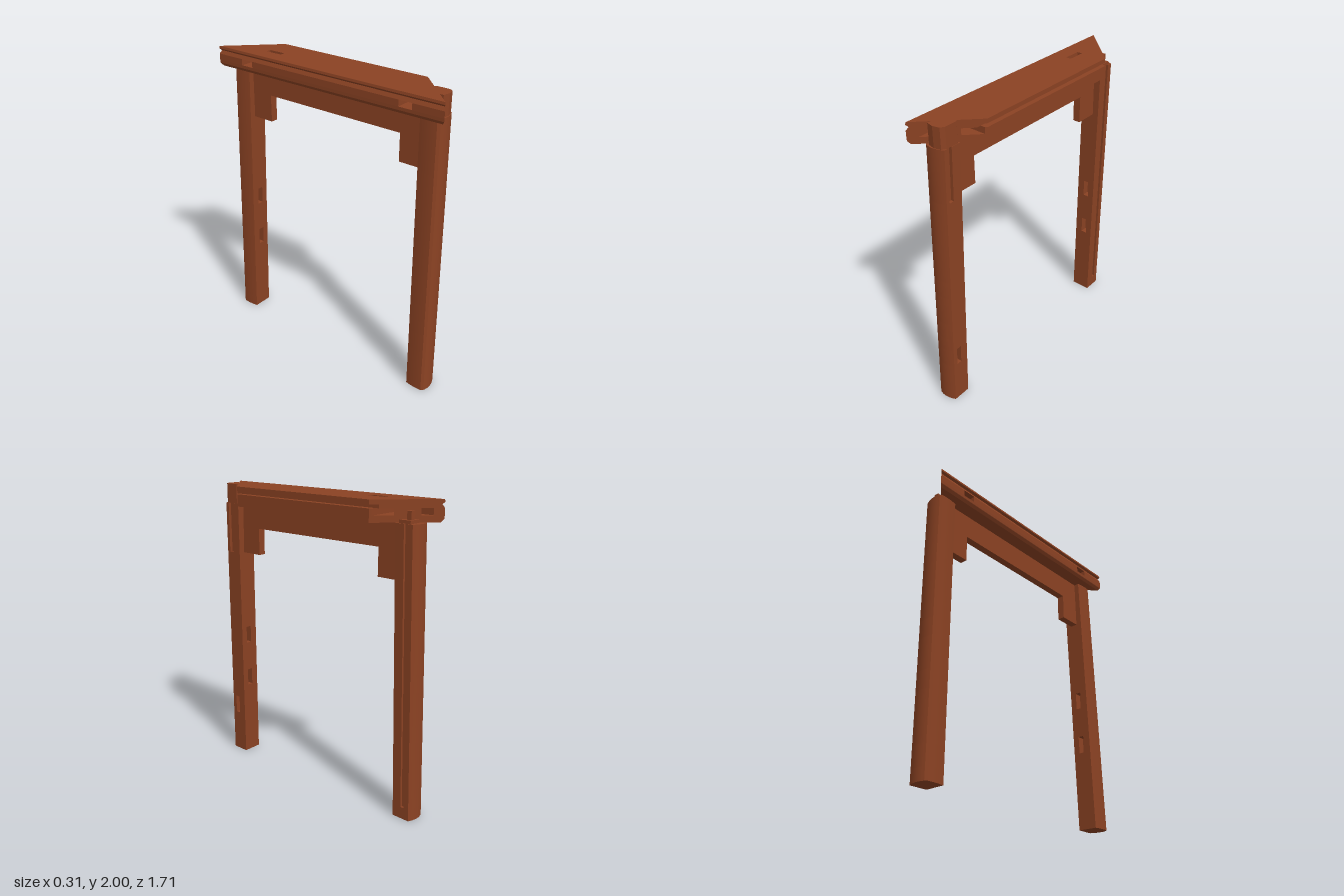
import * as THREE from 'three';
import { toCreasedNormals } from 'three/addons/utils/BufferGeometryUtils.js';

const wood = new THREE.MeshStandardMaterial({ color: 0x8b4223 });
wood.name = 'reddish brown wood';

const LEG_TOP = 1.87;
const MITRE = 0.7; // mitre line: |z| = MITRE - x

function add(group, name, geometry) {
  const mesh = new THREE.Mesh(geometry, wood);
  mesh.name = name;
  group.add(mesh);
}

function box(group, name, x0, x1, y0, y1, z0, z1) {
  const g = new THREE.BoxGeometry(x1 - x0, y1 - y0, z1 - z0);
  g.translate((x0 + x1) / 2, (y0 + y1) / 2, (z0 + z1) / 2);
  add(group, name, g);
}

// Extrude a plan drawn in x and z between two heights
function slab(shape, y0, y1) {
  const g = new THREE.ExtrudeGeometry(shape, { depth: y1 - y0, bevelEnabled: false, curveSegments: 8 });
  g.rotateX(Math.PI / 2);
  g.translate(0, y1, 0);
  return g;
}

const plan = (points) => new THREE.Shape(points.map(([x, z]) => new THREE.Vector2(x, z)));

function moveVertices(geometry, rule) {
  const p = geometry.attributes.position;
  const v = new THREE.Vector3();
  for (let i = 0; i < p.count; i++) {
    v.fromBufferAttribute(p, i);
    rule(v);
    p.setXYZ(i, v.x, v.y, v.z);
  }
  return toCreasedNormals(geometry, 0.5);
}

// Leg section with bulged outer faces; notches are [from, to, depth]
function legPlan(s, notchX, notchZ) {
  const sh = new THREE.Shape();
  sh.moveTo(-0.085, s * 0.66);
  if (notchZ) {
    const [a, b, d] = notchZ;
    sh.lineTo(a, s * 0.66);
    sh.lineTo(a, s * (0.66 + d));
    sh.lineTo(b, s * (0.66 + d));
    sh.lineTo(b, s * 0.66);
  }
  sh.lineTo(0.048, s * 0.66);
  if (notchX) {
    const [a, b, d] = notchX;
    sh.lineTo(0.048, s * a);
    sh.lineTo(0.048 - d, s * a);
    sh.lineTo(0.048 - d, s * b);
    sh.lineTo(0.048, s * b);
  }
  sh.lineTo(0.048, s * 0.78);
  sh.quadraticCurveTo(-0.02, s * 0.815, -0.078, s * 0.79);
  sh.lineTo(-0.091, s * 0.775);
  sh.quadraticCurveTo(-0.097, s * 0.72, -0.085, s * 0.66);
  return sh;
}

// Splayed leg, built in bands so mortises are real recesses
function leg(name, s, bands) {
  const group = new THREE.Group();
  group.name = name;
  for (const [y0, y1, nx, nz] of bands) {
    const g = slab(legPlan(s, nx, nz), y0, y1);
    add(group, name + 'Band', moveVertices(g, (v) => {
      const t = 1 - v.y / LEG_TOP;
      v.x -= 0.033 * t;
      v.z += s * 0.033 * t;
    }));
  }
  return group;
}

// One layer of the mitred rail; outer edge runs from xBottom to xTop
function railLayer(group, y0, y1, xBottom, xTop, xInner, slotted, mortise) {
  const xo = xTop;
  const shapes = [];
  if (slotted) {
    shapes.push(plan([[xo, -0.56], [0.14, -0.56], [xInner, -0.55], [xInner, 0.55], [0.14, 0.56], [xo, 0.56]]));
    for (const s of [1, -1]) {
      shapes.push(plan([[xo, 0.65], [0.05, 0.65], [-0.06, 0.76], [-0.06, 0.7], [-0.11, 0.7],
        [-0.11, 0.81], [xo, MITRE - xo]].map(([x, z]) => [x, s * z])));
    }
  } else {
    shapes.push(plan([[xo, xo - MITRE], [xInner, xInner - MITRE], [xInner, MITRE - xInner], [xo, MITRE - xo]]));
  }
  if (mortise) {
    shapes[0].holes.push(new THREE.Path([[-0.05, -0.53], [-0.05, -0.41], [-0.015, -0.41], [-0.015, -0.53]]
      .map(([x, z]) => new THREE.Vector2(x, z))));
  }
  for (const shape of shapes) {
    add(group, 'railLayer', moveVertices(slab(shape, y0, y1), (v) => {
      if (Math.abs(v.x - xo) < 1e-4 && v.y < (y0 + y1) / 2) {
        if (Math.abs(v.z) > MITRE) v.z = Math.sign(v.z) * (MITRE - xBottom);
        v.x = xBottom;
      }
    }));
  }
}

export function createModel() {
  const model = new THREE.Group();
  model.name = 'tableEndFrame';

  // Top rail: moulded outer edge, panel groove on the inner edge
  const rail = new THREE.Group();
  rail.name = 'topRail';
  railLayer(rail, 1.87, 1.89, -0.14, -0.154, 0.15, false, false);
  railLayer(rail, 1.89, 1.91, -0.154, -0.155, 0.15, false, false);
  railLayer(rail, 1.91, 1.95, -0.155, -0.155, 0.15, true, true);
  railLayer(rail, 1.95, 1.972, -0.155, -0.143, 0.11, false, true);
  railLayer(rail, 1.972, 1.985, -0.143, -0.155, 0.15, false, true);
  railLayer(rail, 1.985, 2, -0.155, -0.152, 0.15, false, true);
  model.add(rail);

  // Apron with a bracket at each end
  box(model, 'apron', -0.05, 0, 1.71, 1.87, -0.67, 0.67);
  for (const s of [1, -1]) {
    const [a, b] = [s * 0.51, s * 0.68].sort((p, q) => p - q);
    box(model, 'apronBracket', -0.05, 0, 1.53, 1.71, a, b);
  }

  // Legs with mortises and long grooves
  const slot = [-0.035, 0.005, 0.05];
  const side = [0.715, 0.75, 0.05];
  const keyway = [0.725, 0.757, 0.02];
  const groove = [0.72, 0.745, 0.015];
  model.add(leg('frontLeg', 1, [
    [0, 0.3], [0.3, 0.43, side], [0.43, 0.53], [0.53, 0.65, null, slot], [0.65, 0.86],
    [0.86, 0.98, null, slot], [0.98, 1.53], [1.53, LEG_TOP, keyway],
  ]));
  model.add(leg('backLeg', -1, [
    [0, 0.08], [0.08, 0.21, groove], [0.21, 0.53, groove], [0.53, 0.65, groove, slot],
    [0.65, 0.86, groove], [0.86, 0.98, groove, slot], [0.98, LEG_TOP, groove],
  ]));

  // Front leg head standing in the mitre
  add(model, 'frontLegHead', slab(plan([[-0.06, 0.74], [0.03, 0.66], [0.045, 0.675], [0.045, 0.76],
    [0.03, 0.785], [-0.015, 0.795], [-0.06, 0.785]]), LEG_TOP, 2));

  // Back leg shoulder and tenon pin
  box(model, 'backLegShoulder', -0.05, 0.04, LEG_TOP, 1.89, -0.76, -0.68);
  box(model, 'backLegPin', -0.015, 0.02, LEG_TOP, 1.94, -0.75, -0.72);
  return model;
}
